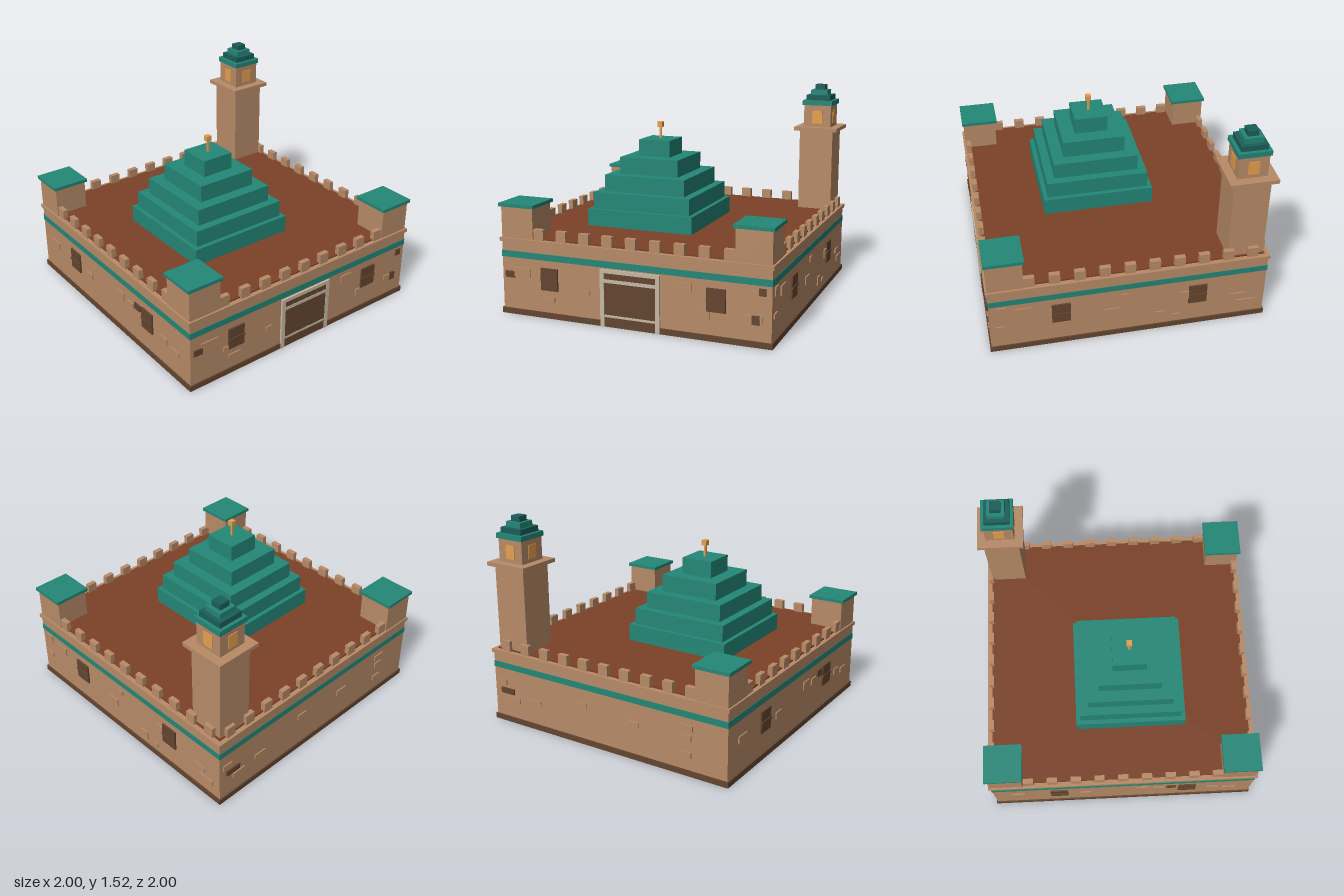
import * as THREE from 'three';

const mat = (name, color) => {
  const m = new THREE.MeshStandardMaterial({ color });
  m.name = name;
  return m;
};

export function createModel() {
  const stone = mat('tan stone', 0xb88b67);
  const timber = mat('dark brown', 0x64452f);
  const green = mat('green tile', 0x248777);
  const deepGreen = mat('deep green tile', 0x1b5e5a);
  const clay = mat('roof clay', 0x7b4128);
  const pale = mat('pale trim', 0xc6b9a2);
  const amber = mat('amber', 0xe6a04e);

  const model = new THREE.Group();
  model.name = 'fortifiedHall';

  // Box given by centre x, z, bottom and top heights, full width and depth
  const block = (parent, name, m, x, z, y0, y1, w, d = w) => {
    const mesh = new THREE.Mesh(new THREE.BoxGeometry(w, y1 - y0, d), m);
    mesh.position.set(x, (y0 + y1) / 2, z);
    mesh.name = name;
    parent.add(mesh);
    return mesh;
  };
  const group = (name, parent = model) => {
    const g = new THREE.Group();
    g.name = name;
    parent.add(g);
    return g;
  };

  // Main hall
  block(model, 'walls', stone, 0, 0, 0, 0.545, 1.96);
  block(model, 'plinth', timber, 0, 0, 0, 0.04, 1.98);
  block(model, 'tileBand', green, 0, 0, 0.41, 0.455, 1.966);
  block(model, 'cornice', stone, 0, 0, 0.52, 0.546, 1.984);
  block(model, 'roof', clay, 0, 0, 0.545, 0.556, 1.915);

  // Four wall groups; in each, +z points outward and u runs to the viewer's right
  const walls = ['front', 'right', 'back', 'left'].map((n, i) => {
    const g = group(n + 'Wall');
    g.rotation.y = i * Math.PI / 2;
    return g;
  });

  // Battlements
  for (const w of walls) {
    for (let i = -5; i <= 5; i++) {
      block(w, 'merlon', stone, i * 0.1735, 0.956, 0.54, 0.622, 0.075, 0.036);
    }
  }

  // Shuttered windows on front and both sides
  for (const i of [0, 1, 3]) {
    for (const u of [-0.608, 0.608].map(v => (i ? Math.sign(v) * 0.485 : v))) {
      const win = group('window', walls[i]);
      block(win, 'shutter', timber, u, 0.983, 0.2, 0.358, 0.13, 0.018);
      block(win, 'shutterBar', timber, u, 0.988, 0.268, 0.284, 0.13, 0.022);
    }
  }

  // Raised stones: u0, u1, y0, y1, dark flag
  const stones = [
    [[-0.895, -0.76, 0.275, 0.34], [-0.715, -0.6, 0.195, 0.228], [-0.675, -0.57, 0.12, 0.152],
      [-0.35, -0.3, 0.205, 0.236], [0.34, 0.44, 0.315, 0.375], [0.5, 0.565, 0.14, 0.2],
      [0.79, 0.92, 0.16, 0.205], [-0.955, -0.885, 0.265, 0.31, 1], [0.895, 0.94, 0.345, 0.392, 1],
      [0.85, 0.9, 0.15, 0.21, 1]],
    [[-0.93, -0.86, 0.335, 0.395], [-0.8, -0.69, 0.3, 0.365], [-0.945, -0.875, 0.19, 0.222],
      [-0.18, -0.08, 0.19, 0.25], [-0.065, -0.015, 0.33, 0.37], [0.175, 0.25, 0.09, 0.155],
      [0.31, 0.355, 0.08, 0.112], [0.36, 0.42, 0.25, 0.315], [0.73, 0.84, 0.195, 0.23],
      [0.78, 0.915, 0.12, 0.16]],
    [[-0.95, -0.87, 0.285, 0.325], [-0.92, -0.8, 0.22, 0.262, 1], [-0.86, -0.75, 0.16, 0.2],
      [-0.65, -0.55, 0.19, 0.225], [-0.22, -0.14, 0.27, 0.31], [0.2, 0.3, 0.24, 0.28],
      [0.63, 0.72, 0.32, 0.36], [0.64, 0.71, 0.25, 0.29], [0.63, 0.71, 0.13, 0.17]],
    [[-0.85, -0.74, 0.25, 0.3], [-0.33, -0.25, 0.22, 0.27], [0.1, 0.19, 0.28, 0.34],
      [0.23, 0.31, 0.27, 0.32], [0.33, 0.4, 0.3, 0.35, 1], [0.64, 0.72, 0.21, 0.26],
      [0.76, 0.86, 0.19, 0.23]],
  ];
  stones.forEach((list, i) => {
    for (const [u0, u1, y0, y1, dark] of list) {
      block(walls[i], 'raisedStone', dark ? timber : stone,
        (u0 + u1) / 2, dark ? 0.982 : 0.98, y0, y1, u1 - u0, 0.018);
    }
  });

  // Gate with frame and rails
  const gate = group('gate', walls[0]);
  block(gate, 'gateDoor', timber, 0, 0.984, 0.005, 0.38, 0.38, 0.016);
  for (const s of [-1, 1]) block(gate, 'gateJamb', pale, s * 0.202, 0.985, 0, 0.402, 0.03, 0.022);
  for (const [y0, y1] of [[0.376, 0.402], [0.31, 0.334], [0.07, 0.086]]) {
    block(gate, 'gateRail', pale, 0, 0.9845, y0, y1, 0.38, 0.021);
  }

  // Corner turrets
  for (const [x, z] of [[-0.857, 0.855], [0.855, 0.855], [-0.857, -0.86]]) {
    const turret = group('cornerTurret');
    block(turret, 'turretBody', stone, x, z, 0.54, 0.766, 0.245);
    block(turret, 'turretCap', green, x, z, 0.766, 0.79, 0.274);
  }

  // Stepped dome with finial
  const dome = group('steppedDome');
  const tiers = [[0.55, 0.68, 0.403], [0.68, 0.8, 0.371], [0.8, 0.92, 0.31], [0.92, 1.043, 0.226], [1.043, 1.164, 0.121]];
  for (const [y0, y1, r] of tiers) block(dome, 'domeTier', green, -0.164, 0.077, y0, y1, 2 * r);
  block(dome, 'finialPole', amber, -0.164, 0.077, 1.164, 1.25, 0.016);
  block(dome, 'finialKnob', amber, -0.164, 0.077, 1.248, 1.287, 0.039);

  // Lantern tower at the back corner
  const tower = group('lanternTower');
  tower.position.set(0.816, 0, -0.82);
  block(tower, 'towerShaft', stone, 0, 0, 0.54, 1.17, 0.258);
  block(tower, 'towerPlatform', stone, 0, 0, 1.17, 1.198, 0.336);
  block(tower, 'lanternRoom', stone, 0, 0, 1.198, 1.366, 0.21);
  block(tower, 'lanternWindowsFrontBack', amber, 0, 0, 1.225, 1.325, 0.077, 0.22);
  block(tower, 'lanternWindowsSides', amber, 0, 0, 1.225, 1.325, 0.22, 0.077);
  const steps = [[1.366, 1.403, 0.116], [1.403, 1.443, 0.092], [1.443, 1.482, 0.064], [1.482, 1.522, 0.038]];
  steps.forEach(([y0, y1, r], i) => {
    block(tower, 'towerRoofStep', i % 2 ? deepGreen : green, 0, 0, y0, y1, 2 * r);
  });

  return model;
}
